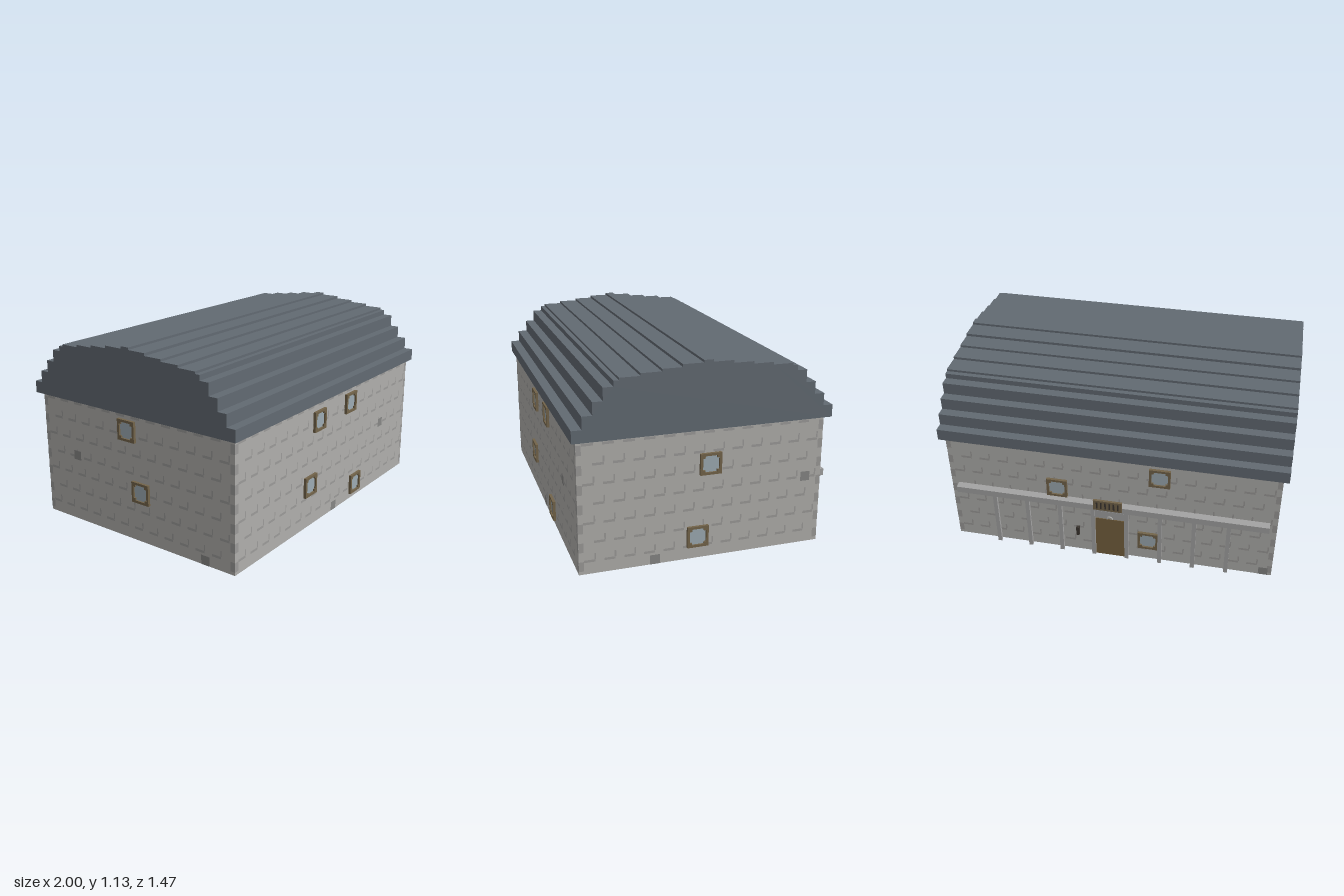
import * as THREE from 'three';
import { mergeGeometries } from 'three/addons/utils/BufferGeometryUtils.js';

const mat = (color) => new THREE.MeshStandardMaterial({ color });
const M = {
  wall: mat(0xb0afac), course: mat(0x9c9b99), patch: mat(0x868685), roof: mat(0x626a72),
  frame: mat(0x73644a), glass: mat(0x9dabb3), door: mat(0x75613f), stone: mat(0xa3a3a3), dark: mat(0x3a3530),
};
const CZ = 0.015; // middle of the walls in z
const HX = 0.97, HZ = 0.695, WALL_TOP = 0.75;

function add(parent, name, geometry, material, x = 0, y = 0, z = 0) {
  const mesh = new THREE.Mesh(geometry, material);
  mesh.name = name;
  mesh.position.set(x, y, z);
  parent.add(mesh);
  return mesh;
}
const box = (parent, name, material, w, h, d, x, y, z) =>
  add(parent, name, new THREE.BoxGeometry(w, h, d), material, x, y, z);

// Stepped barrel roof: [half width, top of step]
function roofGeometry() {
  const steps = [[0.724, 0.82], [0.669, 0.89], [0.613, 0.96], [0.558, 1.03], [0.503, 1.06],
    [0.475, 1.073], [0.363, 1.087], [0.25, 1.1], [0.14, 1.115], [0.026, 1.128]];
  const right = [];
  let y = WALL_TOP;
  for (const [w, top] of steps) {
    right.push([w, y], [w, top]);
    y = top;
  }
  const left = right.map(([w, h]) => [-w, h]).reverse();
  const shape = new THREE.Shape([...right, ...left].map(([a, b]) => new THREE.Vector2(a, b)));
  const geometry = new THREE.ExtrudeGeometry(shape, { depth: 2, bevelEnabled: false });
  return geometry.translate(0, 0, -1).rotateY(Math.PI / 2);
}

// Square window frame with small blocks filling the inner corners
function frameGeometry() {
  const o = 0.061, a = 0.047, b = 0.034;
  const shape = new THREE.Shape([[-o, -o], [o, -o], [o, o], [-o, o]].map((p) => new THREE.Vector2(...p)));
  const hole = [];
  for (let i = 0; i < 4; i++) {
    for (const [x, y] of [[a, -b], [a, b], [b, b]]) {
      hole.push(new THREE.Vector2(x, y).rotateAround(new THREE.Vector2(), i * Math.PI / 2));
    }
  }
  shape.holes.push(new THREE.Path(hole));
  return new THREE.ExtrudeGeometry(shape, { depth: 0.016, bevelEnabled: false });
}

function addWindow(face, x, y) {
  const group = new THREE.Group();
  group.name = 'window';
  group.position.set(x, y, 0);
  add(group, 'windowFrame', frameGeometry(), M.frame);
  box(group, 'windowGlass', M.glass, 0.1, 0.1, 0.006, 0, 0, 0.003);
  face.add(group);
}

// Staggered joints between the courses, and corner stones
function addCourses(face, half) {
  const joints = [], corners = [];
  const tile = (list, w, h, x, y) => list.push(new THREE.PlaneGeometry(w, h).translate(x, y, 0.001));
  for (let row = 0; row < 7; row++) {
    const y = 0.075 + row * 0.109;
    const shift = row % 2 ? 0.055 : 0;
    for (let x = -half + 0.06 + shift; x < half - 0.05; x += 0.11) {
      tile(joints, 0.062, 0.014, x, y);
      if (y < 0.7) tile(joints, 0.009, 0.035, x + 0.03, y + 0.025);
    }
    for (const side of [-1, 1]) tile(corners, 0.028, 0.055, side * (half - 0.014), y - 0.028);
  }
  add(face, 'brickJoints', mergeGeometries(joints), M.course);
  add(face, 'cornerStones', mergeGeometries(corners), M.course);
}

// A wall face whose local +z points outward
function addFace(parent, name, angle, half, distance, windows, patches) {
  const face = new THREE.Group();
  face.name = name;
  face.rotation.y = angle;
  face.position.set(Math.sin(angle) * distance, 0, CZ + Math.cos(angle) * distance);
  addCourses(face, half);
  for (const [x, y] of windows) addWindow(face, x, y);
  for (const [x, y] of patches) {
    add(face, 'darkBrick', new THREE.PlaneGeometry(0.055, 0.055), M.patch, x, y, 0.002);
  }
  parent.add(face);
  return face;
}

// Door, posts, beam and sign on the rear wall
function addEntrance(face) {
  box(face, 'door', M.door, 0.18, 0.29, 0.018, 0, 0.145, 0.009);
  for (const side of [-1, 1]) {
    for (let i = 0; i < 4; i++) {
      box(face, 'post', M.stone, 0.024, 0.377, 0.016, side * (0.1 + i * 0.2), 0.1885, 0.022);
    }
  }
  box(face, 'beam', M.stone, 1.855, 0.04, 0.045, 0, 0.395, 0.0225);
  box(face, 'doorPlaque', M.stone, 0.18, 0.055, 0.022, 0, 0.325, 0.011);
  const arch = new THREE.TorusGeometry(0.016, 0.005, 6, 10, Math.PI);
  add(face, 'plaqueArch', arch, M.wall, 0, 0.3, 0.024);
  box(face, 'signBoard', M.frame, 0.17, 0.07, 0.014, -0.005, 0.425, 0.048);
  for (let i = 0; i < 6; i++) {
    box(face, 'signGroove', M.dark, 0.009, 0.046, 0.002, -0.068 + i * 0.025, 0.425, 0.055);
  }
  box(face, 'wallHandle', M.dark, 0.018, 0.06, 0.02, -0.2, 0.16, 0.01);
}

export function createModel() {
  const model = new THREE.Group();
  model.name = 'barrelRoofHouse';
  box(model, 'walls', M.wall, HX * 2, WALL_TOP, HZ * 2, 0, WALL_TOP / 2, CZ);
  add(model, 'roof', roofGeometry(), M.roof, 0, 0, CZ - 0.003);

  addFace(model, 'frontWall', 0, HX, HZ,
    [[-0.16, 0.635], [0.2, 0.65], [-0.247, 0.26], [0.295, 0.095]], [[0.62, 0.405], [0.04, 0.028]]);
  addFace(model, 'leftWall', Math.PI / 2, HZ, HX,
    [[0.035, 0.55], [-0.033, 0.132]], [[0.6, 0.405], [-0.275, 0.028]]);
  addFace(model, 'rightWall', -Math.PI / 2, HZ, HX,
    [[-0.035, 0.65], [0.055, 0.3]], [[-0.44, 0.41], [0.5, 0.028]]);
  const back = addFace(model, 'backWall', Math.PI, HX, HZ,
    [[-0.315, 0.48], [0.29, 0.645], [0.227, 0.15]], [[0.92, 0.028]]);
  addEntrance(back);
  return model;
}
